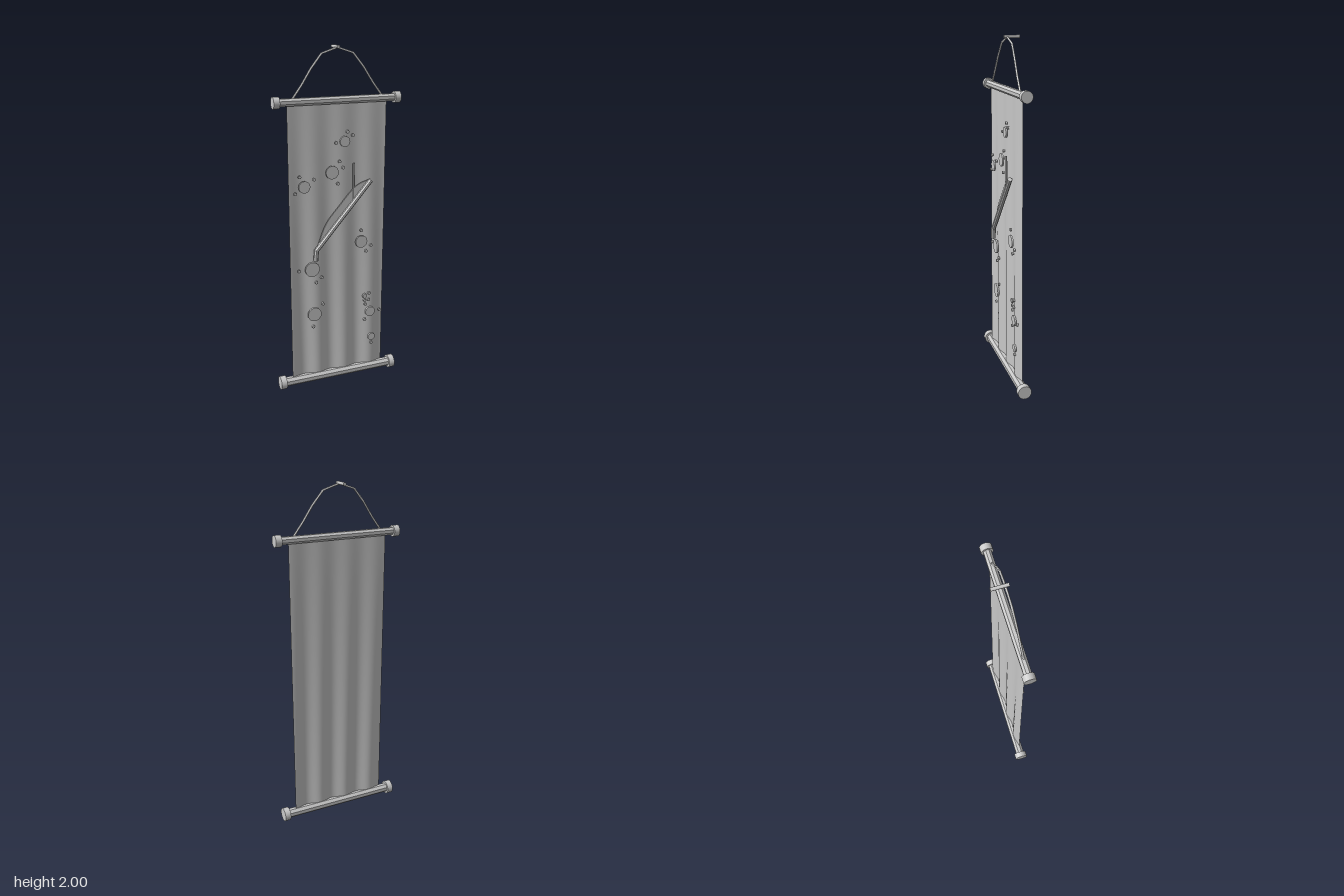
import * as THREE from 'three';

const grey = new THREE.MeshStandardMaterial({ color: 0xc8c8c8 });
grey.name = 'plain grey';
const flatGrey = grey.clone();
flatGrey.flatShading = true;
const clothGrey = grey.clone();
clothGrey.side = THREE.DoubleSide;

export function createModel() {
  const group = new THREE.Group();
  group.name = 'hangingScroll';

  const add = (name, geometry, material = grey) => {
    const mesh = new THREE.Mesh(geometry, material);
    mesh.name = name;
    group.add(mesh);
    return mesh;
  };

  // Straight rod between two points
  const rod = (name, from, to, radius, sides) => {
    const a = new THREE.Vector3(...from), b = new THREE.Vector3(...to);
    const dir = b.clone().sub(a);
    const geometry = new THREE.CylinderGeometry(radius, radius, dir.length(), sides);
    geometry.rotateY(Math.PI / sides);
    const mesh = add(name, geometry, sides <= 8 ? flatGrey : grey);
    mesh.position.copy(a).add(b).multiplyScalar(0.5);
    mesh.quaternion.setFromUnitVectors(new THREE.Vector3(0, 1, 0), dir.normalize());
    return mesh;
  };

  // Top and bottom rollers with end caps
  const roller = (name, y, radius, capRadius) => {
    rod(name, [-0.345, y, 0.015], [0.345, y, 0.015], radius, 8);
    for (const s of [-1, 1]) {
      rod(name + 'Cap', [s * 0.338, y, 0.015], [s * 0.373, y, 0.015], capRadius, 20);
    }
  };
  roller('topRoller', 1.71, 0.022, 0.032);
  roller('bottomRoller', 0.04, 0.028, 0.04);

  // Hanging cloth whose soft folds deepen towards the bottom
  const cloth = new THREE.PlaneGeometry(0.59, 1.65, 64, 20);
  cloth.translate(0, 0.875, 0);
  const p = cloth.attributes.position;
  for (let i = 0; i < p.count; i++) {
    const x = p.getX(i), y = p.getY(i);
    const depth = 0.002 + 0.007 * (1 - y / 1.7);
    p.setZ(i, 0.014 + depth * Math.sin((x * 2 * Math.PI) / 0.17 + 0.4 * y));
  }
  cloth.computeVertexNormals();
  add('cloth', cloth, clothGrey);

  // Cord and wall peg
  const half = [[0.265, 1.722, 0.017], [0.2, 1.81, 0.015], [0.148, 1.89, 0.012], [0.085, 1.963, 0.008]];
  const cordPoints = [
    ...half.map(([x, y, z]) => new THREE.Vector3(-x, y, z)),
    new THREE.Vector3(0, 1.988, 0.006),
    ...half.slice().reverse().map(([x, y, z]) => new THREE.Vector3(x, y, z)),
  ];
  add('cord', new THREE.TubeGeometry(new THREE.CatmullRomCurve3(cordPoints), 8, 0.006, 6));
  rod('peg', [0, 1.991, -0.064], [0, 1.991, 0.025], 0.009, 10);

  // Blossoms: each has a large disc [x, y, radius] and small petals [x, y]
  const blossoms = [
    [[0.037, 1.481, 0.03], [0.053, 1.534], [0.085, 1.513], [-0.016, 1.476]],
    [[-0.04, 1.31, 0.038], [0.005, 1.37], [0.027, 1.333], [-0.005, 1.243]],
    [[-0.206, 1.241, 0.034], [-0.233, 1.3], [-0.148, 1.28], [-0.26, 1.206]],
    [[0.143, 0.878, 0.037], [0.143, 0.947], [0.206, 0.847], [0.175, 0.815]],
    [[-0.164, 0.746, 0.044], [-0.246, 0.746], [-0.106, 0.688], [-0.14, 0.661]],
    [[-0.153, 0.46, 0.042], [-0.1, 0.519], [-0.161, 0.381]],
    [[0.206, 0.418, 0.031], [0.27, 0.418], [0.175, 0.47], [0.172, 0.37]],
    [[0.17, 0.526, 0.015], [0.198, 0.54], [0.17, 0.497], [0.196, 0.497]],
    [[0.217, 0.246, 0.023], [0.217, 0.205]],
  ];
  for (const blossom of blossoms) {
    blossom.forEach(([x, y, r = 0.009], i) => {
      const disc = new THREE.CylinderGeometry(r, r, 0.01, 20);
      disc.rotateX(Math.PI / 2);
      add(i ? 'petal' : 'blossom', disc).position.set(x, y, 0.029);
    });
  }

  // Branch, its bent foot and an upright twig
  rod('branch', [-0.146, 0.865, 0.049], [0.19, 1.25, 0.049], 0.014, 8);
  rod('branchFoot', [-0.15, 0.805, 0.049], [-0.144, 0.872, 0.049], 0.014, 8);
  rod('twig', [0.087, 1.13, 0.04], [0.087, 1.355, 0.04], 0.007, 6);

  // Thin arched leaf behind the branch
  const leaf = new THREE.Shape();
  leaf.moveTo(-0.14, 0.87);
  leaf.splineThru([[-0.085, 1.01], [-0.005, 1.11], [0.1, 1.22], [0.19, 1.255]]
    .map(([x, y]) => new THREE.Vector2(x, y)));
  leaf.closePath();
  const leafGeometry = new THREE.ExtrudeGeometry(leaf, { depth: 0.008, bevelEnabled: false, curveSegments: 6 });
  leafGeometry.translate(0, 0, 0.034);
  add('leaf', leafGeometry);

  return group;
}
